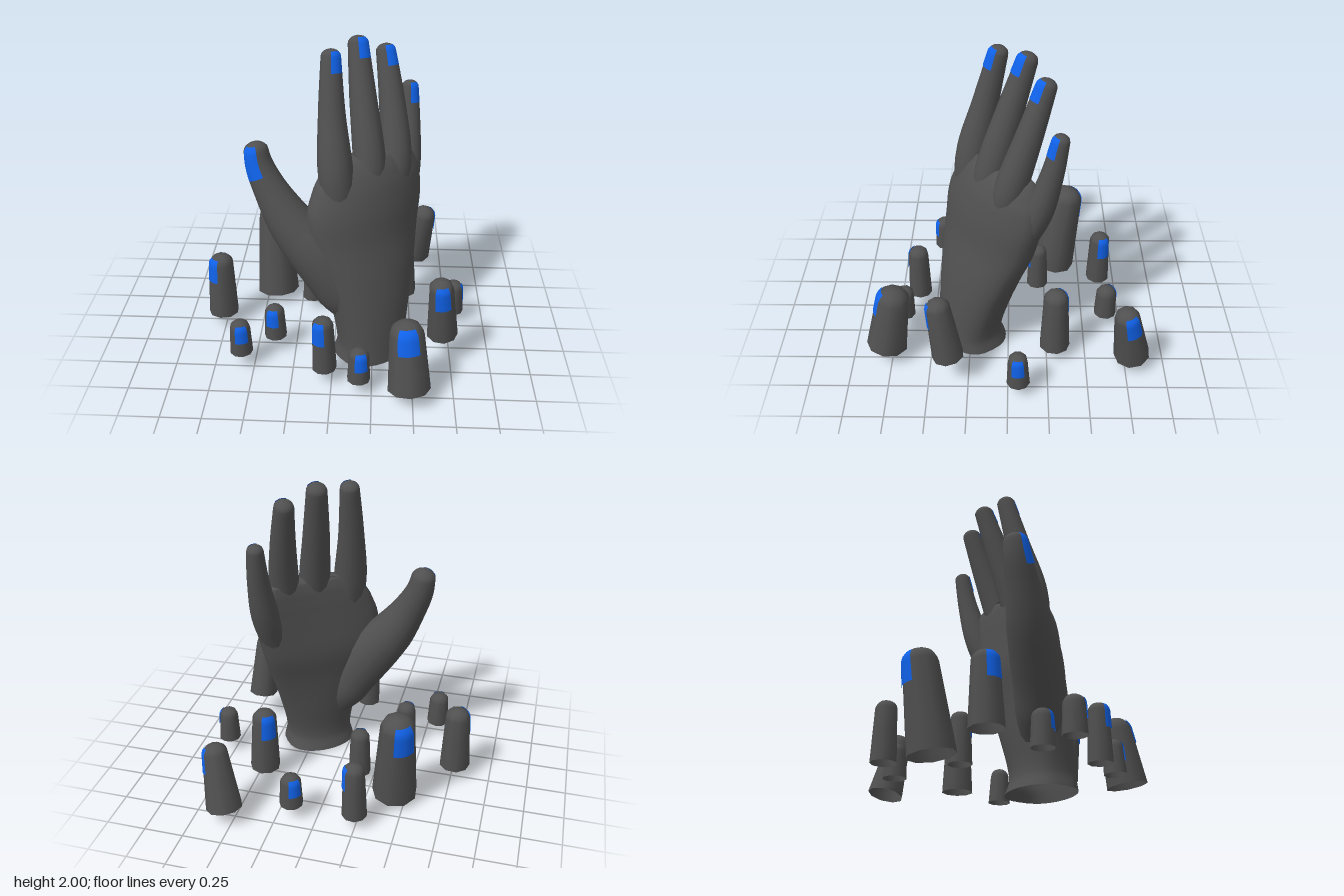
import * as THREE from 'three';

const V = (x, y, z) => new THREE.Vector3(x, y, z);
const skinMat = new THREE.MeshStandardMaterial({ color: 0x505050, side: THREE.DoubleSide });
const nailMat = new THREE.MeshStandardMaterial({ color: 0x1062ea, side: THREE.DoubleSide });

// Surface around a path. sections: [x, y, z, radius along facing, radius across, bow]
// An upright surface has level, slightly boxy sections.
function limbSurface(sections, facing, domeStart, upright) {
  const path = new THREE.CatmullRomCurve3(sections.map(s => V(s[0], s[1], s[2])));
  const size = new THREE.CatmullRomCurve3(sections.map(s => V(s[3], s[4], s[5] || 0)));
  return (t, angle, lift = 0) => {
    const c = path.getPoint(t), r = size.getPoint(t);
    const T = upright ? V(0, 1, 0) : path.getTangent(t);
    const N = facing.clone().addScaledVector(T, -facing.dot(T)).normalize();
    const B = T.clone().cross(N);
    const k = t > domeStart ? Math.sqrt(Math.max(0, 1 - ((t - domeStart) / (1 - domeStart)) ** 2)) : 1;
    const s = Math.sin(angle), cos = Math.cos(angle);
    const f = upright ? Math.sign(cos) * Math.abs(cos) ** 0.75 : cos;
    return c.addScaledVector(N, (r.x * k + lift) * f - r.z * s * s)
      .addScaledVector(B, (r.y * k + lift) * s);
  };
}

// Mesh from rows of points, optionally closed into rings
function gridMesh(name, rows, closed, material) {
  const n = rows[0].length, index = [];
  for (let i = 0; i < rows.length - 1; i++) {
    for (let j = 0; j < (closed ? n : n - 1); j++) {
      const a = i * n + j, b = i * n + (j + 1) % n;
      index.push(a, b, b + n, a, b + n, a + n);
    }
  }
  const geo = new THREE.BufferGeometry().setFromPoints(rows.flat());
  geo.setIndex(index);
  geo.computeVertexNormals();
  const mesh = new THREE.Mesh(geo, material);
  mesh.name = name;
  return mesh;
}

const span = (n, a, b) => Array.from({ length: n + 1 }, (_, i) => a + (b - a) * i / n);

function skin(name, surface, domeStart, rows, sides) {
  const ts = span(rows, 0, domeStart);
  for (let k = 1; k <= 5; k++) ts.push(domeStart + (1 - domeStart) * Math.min(0.9998, Math.sin(k * Math.PI / 10)));
  const rings = ts.map(t => Array.from({ length: sides }, (_, j) => surface(t, j / sides * Math.PI * 2)));
  return gridMesh(name, rings, true, skinMat);
}

// Rounded digit with a nail patch lying on its surface
function digit(name, sections, facing, nailLength, rows, sides) {
  const n = sections.length, end = sections[n - 1], prev = sections[n - 2];
  const perUnit = 1 / (n - 1) / Math.hypot(end[0] - prev[0], end[1] - prev[1], end[2] - prev[2]);
  const domeStart = 1 - perUnit * end[3] * 0.75;
  const surface = limbSurface(sections, facing, domeStart);
  const group = new THREE.Group();
  group.name = name;
  group.add(skin(name + 'Skin', surface, domeStart, rows, sides));
  const patch = span(8, 1 - perUnit * nailLength, 1 - perUnit * end[3] * 0.25)
    .map(t => span(6, -0.6, 0.6).map(a => surface(t, a, 0.004)));
  group.add(gridMesh(name + 'Nail', patch, false, nailMat));
  return group;
}

export function createModel() {
  const model = new THREE.Group();
  model.name = 'handWithFingertips';
  const hand = new THREE.Group();
  hand.name = 'hand';
  model.add(hand);
  const back = V(0.6, 0, 0.8);

  // Wrist and palm, cupped towards the knuckles
  const palm = [
    [0.235, 0, 0.245, 0.205, 0.24, 0],
    [0.24, 0.1, 0.255, 0.185, 0.22, 0],
    [0.235, 0.36, 0.225, 0.185, 0.265, 0.01],
    [0.225, 0.6, 0.19, 0.175, 0.33, 0.03],
    [0.21, 0.8, 0.155, 0.165, 0.385, 0.05],
    [0.22, 1.0, 0.135, 0.145, 0.412, 0.065],
    [0.235, 1.16, 0.105, 0.12, 0.382, 0.07],
    [0.235, 1.25, 0.085, 0.095, 0.33, 0.065],
    [0.235, 1.33, 0.06, 0.055, 0.26, 0.05],
  ];
  hand.add(skin('palm', limbSurface(palm, back, 0.96, true), 0.96, 32, 32));

  // Fingers, rooted inside the palm
  const fingers = {
    indexFinger: [[0.09, 0.8, 0.22, 0.04], [0.035, 1.02, 0.24, 0.09], [0.007, 1.25, 0.222, 0.108], [-0.02, 1.6, 0.14, 0.082], [-0.03, 1.97, 0.05, 0.057]],
    middleFinger: [[0.23, 0.8, 0.15, 0.04], [0.22, 1.04, 0.145, 0.08], [0.207, 1.28, 0.1, 0.1], [0.16, 1.65, -0.01, 0.083], [0.12, 2.0, -0.12, 0.06]],
    ringFinger: [[0.33, 0.8, 0.06, 0.04], [0.355, 1.02, 0.035, 0.08], [0.37, 1.25, -0.015, 0.098], [0.335, 1.6, -0.125, 0.08], [0.285, 1.92, -0.225, 0.058]],
    littleFinger: [[0.38, 0.66, 0.01, 0.04], [0.42, 0.88, -0.075, 0.08], [0.445, 1.12, -0.172, 0.088], [0.455, 1.4, -0.25, 0.068], [0.45, 1.66, -0.3, 0.049]],
  };
  for (const [name, pts] of Object.entries(fingers)) {
    hand.add(digit(name, pts.map(p => [...p, p[3]]), back, 0.14, 22, 14));
  }

  // Thumb, with its thick base running into the wrist
  const thumb = [
    [0.17, 0.24, 0.25, 0.1, 0.1], [0.045, 0.46, 0.265, 0.155, 0.175], [-0.1, 0.69, 0.255, 0.16, 0.18],
    [-0.27, 0.905, 0.22, 0.14, 0.148], [-0.395, 1.12, 0.19, 0.103, 0.107],
    [-0.46, 1.27, 0.165, 0.086, 0.086], [-0.485, 1.415, 0.15, 0.07, 0.07],
  ];
  hand.add(digit('thumb', thumb, V(-0.42, 0, 0.9), 0.21, 28, 16));

  // Loose fingertips around the hand: base xyz, tip xyz, base and tip radius, nail heading in degrees
  const tips = [
    [-0.765, 0.09, 0.02, -0.765, 0.53, 0.01, 0.1, 0.076, -45],
    [-0.58, 0.1, 0.47, -0.585, 0.33, 0.47, 0.073, 0.063, 15],
    [-0.43, 0.06, -0.32, -0.455, 0.69, -0.41, 0.145, 0.103, -145],
    [-0.38, 0.1, 0.29, -0.385, 0.33, 0.29, 0.073, 0.06, -10],
    [-0.24, 0.08, -0.63, -0.235, 0.46, -0.63, 0.08, 0.065, 112],
    [-0.17, 0.08, -0.2, -0.17, 0.4, -0.2, 0.073, 0.06, 10],
    [-0.045, 0.1, 0.61, -0.055, 0.47, 0.61, 0.078, 0.064, -25],
    [0.17, 0.09, 0.7, 0.17, 0.31, 0.69, 0.072, 0.06, 15],
    [0.475, 0.1, 0.78, 0.445, 0.54, 0.71, 0.132, 0.1, 5],
    [0.69, 0.21, 0.37, 0.66, 0.64, 0.43, 0.1, 0.073, 5],
    [0.45, 0.08, -0.3, 0.44, 0.52, -0.3, 0.098, 0.075, -140],
    [0.55, 0.1, -0.79, 0.62, 0.52, -0.72, 0.115, 0.073, 115],
    [0.79, 0.09, -0.065, 0.79, 0.32, -0.06, 0.073, 0.058, 90],
    [0.16, 0.1, -0.65, 0.16, 0.32, -0.65, 0.075, 0.062, -140],
  ];
  const ring = new THREE.Group();
  ring.name = 'fingertips';
  model.add(ring);
  tips.forEach(([bx, by, bz, tx, ty, tz, rb, rt, deg], i) => {
    const a = THREE.MathUtils.degToRad(deg);
    const sections = [[bx, by, bz, rb, rb], [tx, ty, tz, rt, rt]];
    const nailLength = 0.06 + 0.2 * (ty - by);
    ring.add(digit('fingertip' + (i + 1), sections, V(Math.sin(a), 0, Math.cos(a)), nailLength, 4, 9));
  });
  return model;
}
